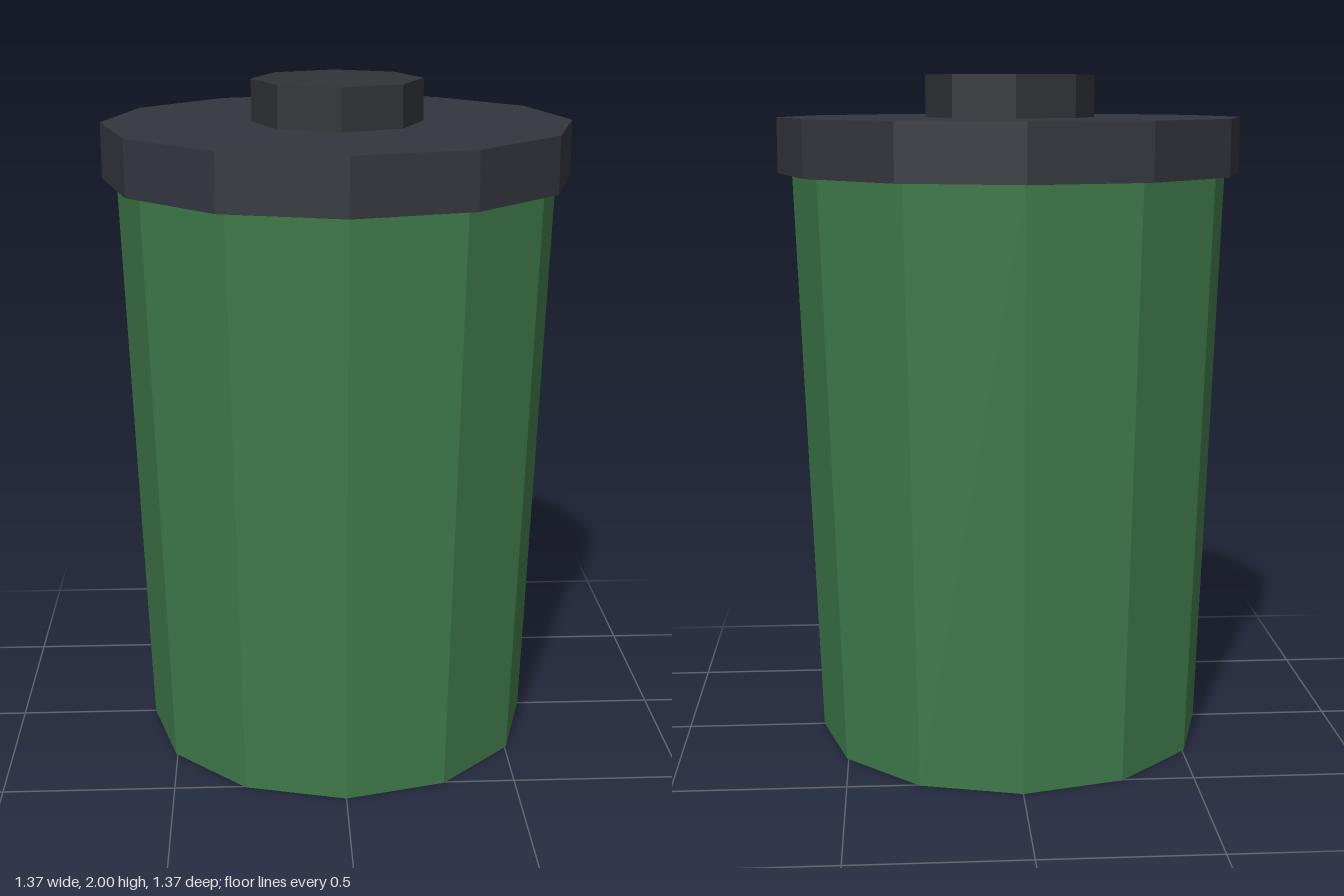
import * as THREE from 'three';

// Faceted, capped round part standing on the given base height
function drum(name, color, topRadius, bottomRadius, baseY, topY, sides) {
  const geometry = new THREE.CylinderGeometry(topRadius, bottomRadius, topY - baseY, sides);
  const material = new THREE.MeshStandardMaterial({ color, flatShading: true });
  const mesh = new THREE.Mesh(geometry, material);
  mesh.name = name;
  mesh.position.y = (baseY + topY) / 2;
  return mesh;
}

export function createModel() {
  const bin = new THREE.Group();
  bin.name = 'trashBin';
  bin.add(
    // Tapered body, wider at the rim
    drum('body', 0x3f7a4a, 0.645, 0.583, 0, 1.715, 12),
    // Overhanging lid
    drum('lid', 0x33363d, 0.687, 0.687, 1.715, 1.877, 12),
    // Octagonal grip on the lid
    drum('lidKnob', 0x303338, 0.25, 0.25, 1.877, 2, 8),
  );
  return bin;
}
